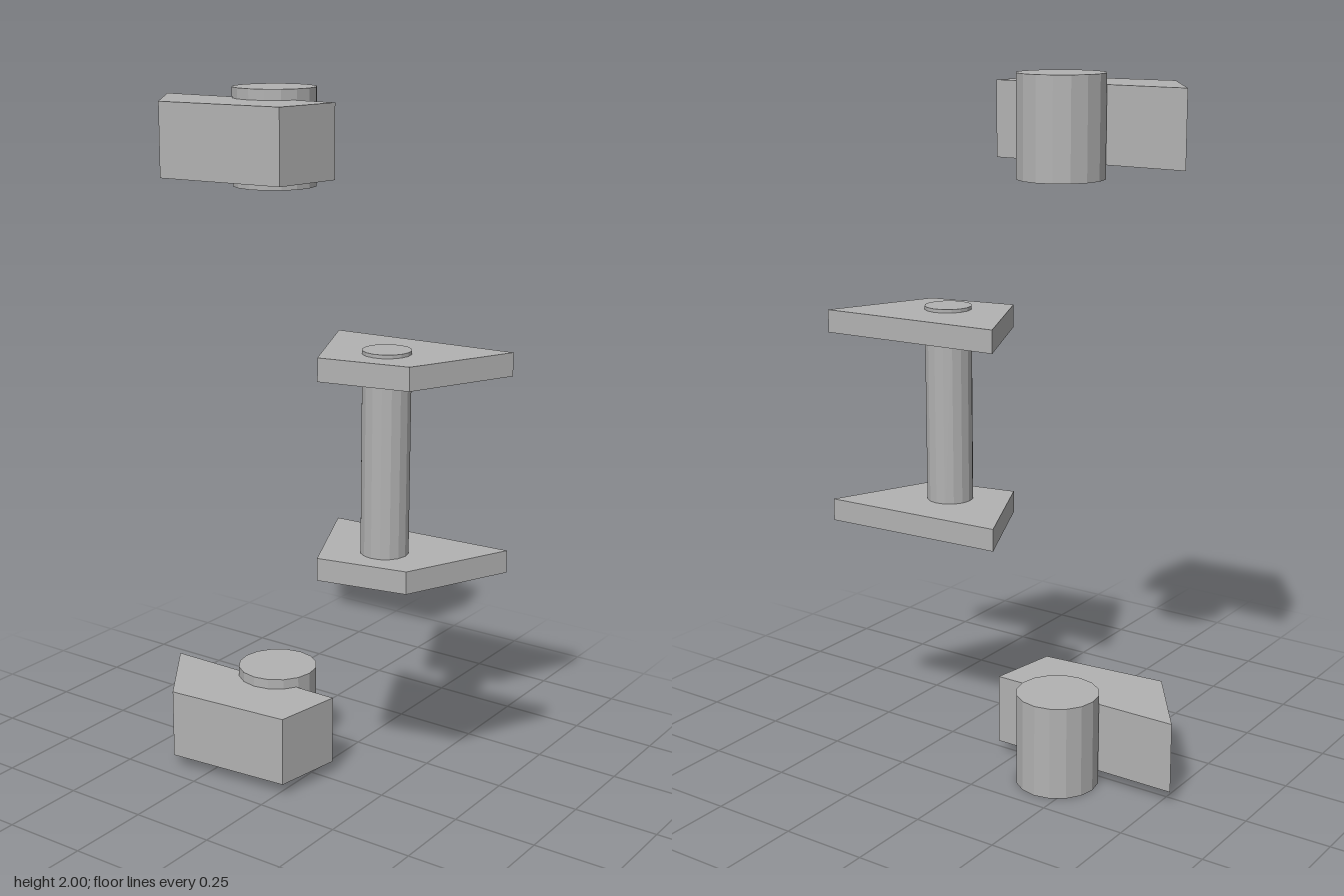
import * as THREE from 'three';

const grey = new THREE.MeshStandardMaterial({ color: 0xb2b2b2, flatShading: true });
grey.name = 'grey';

// Upright prism from an outline of [x, z] corners
function prism(name, outline, bottom, top) {
  const shape = new THREE.Shape(outline.map(([x, z]) => new THREE.Vector2(x, -z)));
  const geometry = new THREE.ExtrudeGeometry(shape, { depth: top - bottom, bevelEnabled: false });
  geometry.rotateX(-Math.PI / 2);
  const mesh = new THREE.Mesh(geometry, grey);
  mesh.name = name;
  mesh.position.y = bottom;
  return mesh;
}

// Upright cylinder between two heights
function pin(name, x, z, radius, bottom, top) {
  const mesh = new THREE.Mesh(new THREE.CylinderGeometry(radius, radius, top - bottom, 16), grey);
  mesh.name = name;
  mesh.position.set(x, (bottom + top) / 2, z);
  return mesh;
}

export function createModel() {
  const model = new THREE.Group();
  model.name = 'hinge';

  const blockOutline = [[0.034, -0.53], [-0.207, -0.36], [-0.173, 0.02], [0.034, 0.053]];
  const plateOutline = [[0.169, -0.024], [-0.157, 0.13], [-0.106, 0.388], [0.203, 0.525]];

  // Lower and upper knuckles: a four-sided block with a thick pin
  for (const [side, y] of [['lower', 0], ['upper', 1.727]]) {
    const knuckle = new THREE.Group();
    knuckle.name = side + 'Knuckle';
    knuckle.position.y = y;
    knuckle.add(
      prism('knuckleBlock', blockOutline, 0.037, 0.243),
      pin('knucklePin', 0.085, -0.187, 0.119, 0, 0.273)
    );
    model.add(knuckle);
  }

  // Middle spool: two plates joined by a rod that stands slightly proud
  const spool = new THREE.Group();
  spool.name = 'spool';
  spool.add(
    prism('lowerPlate', plateOutline, 0.687, 0.752),
    prism('upperPlate', plateOutline, 1.252, 1.318),
    pin('rod', -0.003, 0.251, 0.068, 0.676, 1.328)
  );
  model.add(spool);

  return model;
}
